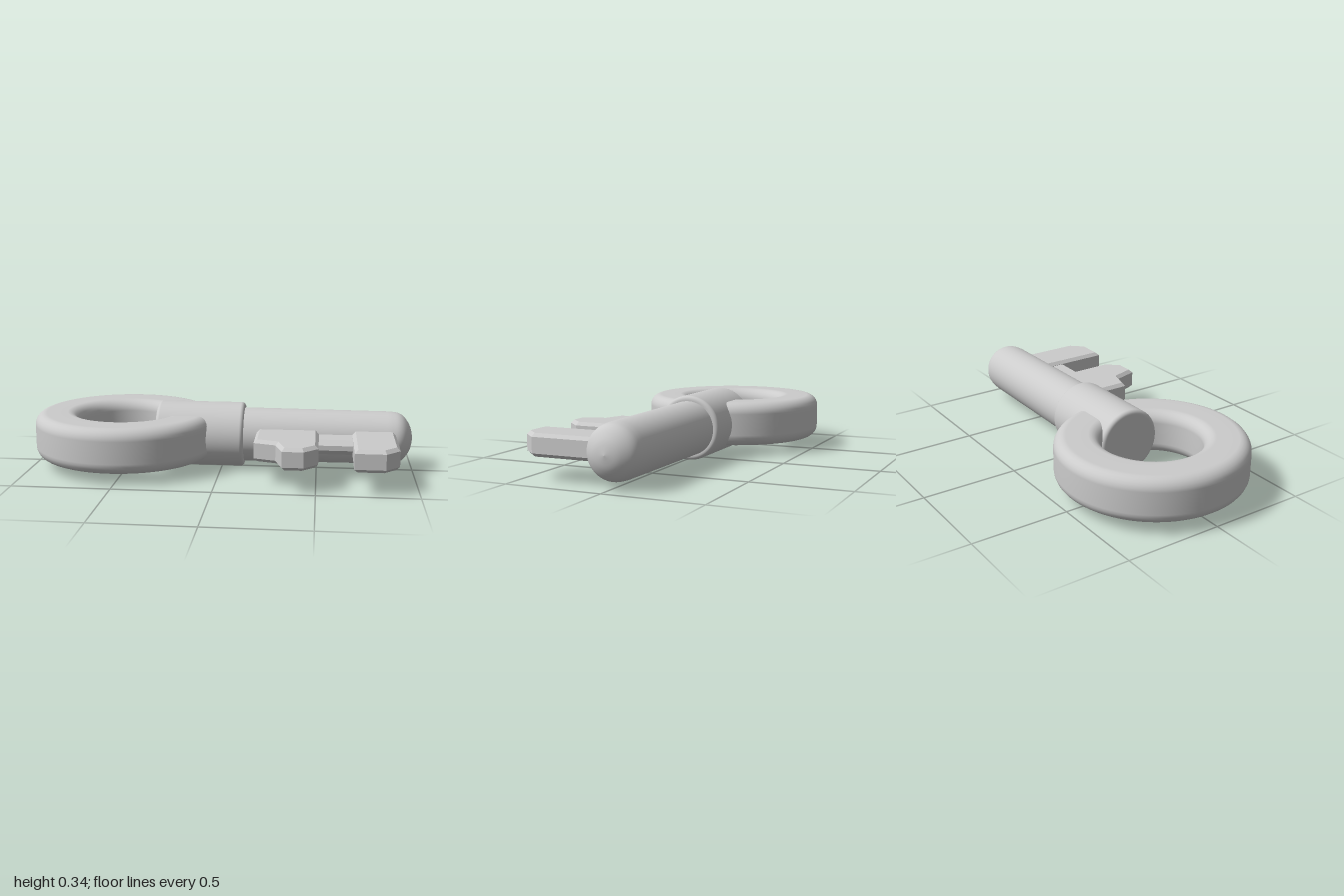
import * as THREE from 'three';

const AXIS_Y = 0.174, AXIS_Z = -0.017;
const material = new THREE.MeshStandardMaterial({ color: 0xcccccc });

function addMesh(group, name, geometry, x, y, z) {
  const mesh = new THREE.Mesh(geometry, material);
  mesh.name = name;
  mesh.position.set(x, y, z);
  group.add(mesh);
}

// Quarter arc of profile points around (cx, cy), starting at angle a
function arc(cx, cy, r, a, steps = 6) {
  return Array.from({ length: steps + 1 }, (_, i) => {
    const t = a + (i / steps) * Math.PI / 2;
    return new THREE.Vector2(cx + r * Math.cos(t), cy + r * Math.sin(t));
  });
}

// Revolve a profile of (radius, x) points around the key's long axis
function turned(points) {
  return new THREE.LatheGeometry(points, 64).rotateZ(-Math.PI / 2);
}

// Flat plate drawn in x and z, with chamfered edges, centred on y = 0
function plate(outline, height, chamfer) {
  const shape = new THREE.Shape(outline.map(([x, z]) => new THREE.Vector2(x, z)));
  const depth = height - 2 * chamfer;
  return new THREE.ExtrudeGeometry(shape, {
    depth, bevelEnabled: true, bevelSegments: 1,
    bevelThickness: chamfer, bevelSize: chamfer, bevelOffset: -chamfer,
  }).translate(0, 0, -depth / 2).rotateX(Math.PI / 2);
}

export function createModel() {
  const key = new THREE.Group();
  key.name = 'key';

  // Round handle with a rounded rectangular section
  const inner = 0.25, outer = 0.48, half = 0.117, r = 0.06;
  const section = [
    ...arc(outer - r, -half + r, r, -Math.PI / 2),
    ...arc(outer - r, half - r, r, 0),
    ...arc(inner + r, half - r, r, Math.PI / 2),
    ...arc(inner + r, -half + r, r, Math.PI),
  ];
  section.push(section[0].clone());
  addMesh(key, 'ringHandle', new THREE.LatheGeometry(section, 96), -0.52, AXIS_Y, AXIS_Z);

  // Collar joining the handle and the shaft
  const collarR = 0.169, edge = 0.02;
  addMesh(key, 'collar', turned([
    new THREE.Vector2(0, -0.34),
    new THREE.Vector2(collarR - edge - 0.003, -0.34),
    ...arc(collarR - edge, -0.34 + edge, edge, -Math.PI / 2),
    ...arc(collarR - edge, 0.12 - edge, edge, 0),
    new THREE.Vector2(collarR - edge - 0.003, 0.12),
    new THREE.Vector2(0, 0.12),
  ]), 0, AXIS_Y, AXIS_Z);

  // Slightly tapered shaft with a domed tip
  const tip = new THREE.SplineCurve([
    [0.136, 0.88], [0.13, 0.92], [0.108, 0.952], [0.06, 0.982], [0, 0.995],
  ].map(([a, b]) => new THREE.Vector2(a, b)));
  addMesh(key, 'shaft', turned([
    new THREE.Vector2(0.142, 0.05),
    new THREE.Vector2(0.137, 0.86),
    ...tip.getPoints(16),
  ]), 0, AXIS_Y, AXIS_Z);

  // Teeth and the bar between them
  addMesh(key, 'steppedTooth', plate([
    [0.19, 0], [0.51, 0], [0.51, 0.42], [0.44, 0.493],
    [0.335, 0.493], [0.3, 0.372], [0.19, 0.337],
  ], 0.112, 0.017), 0, 0.176, 0);
  addMesh(key, 'endTooth', plate([
    [0.68, 0], [0.9, 0], [0.9, 0.42], [0.83, 0.493], [0.68, 0.493],
  ], 0.112, 0.017), 0, 0.176, 0);
  addMesh(key, 'toothBar', plate([
    [0.46, 0], [0.73, 0], [0.73, 0.25], [0.46, 0.25],
  ], 0.075, 0.025), 0, 0.176, 0);

  return key;
}
